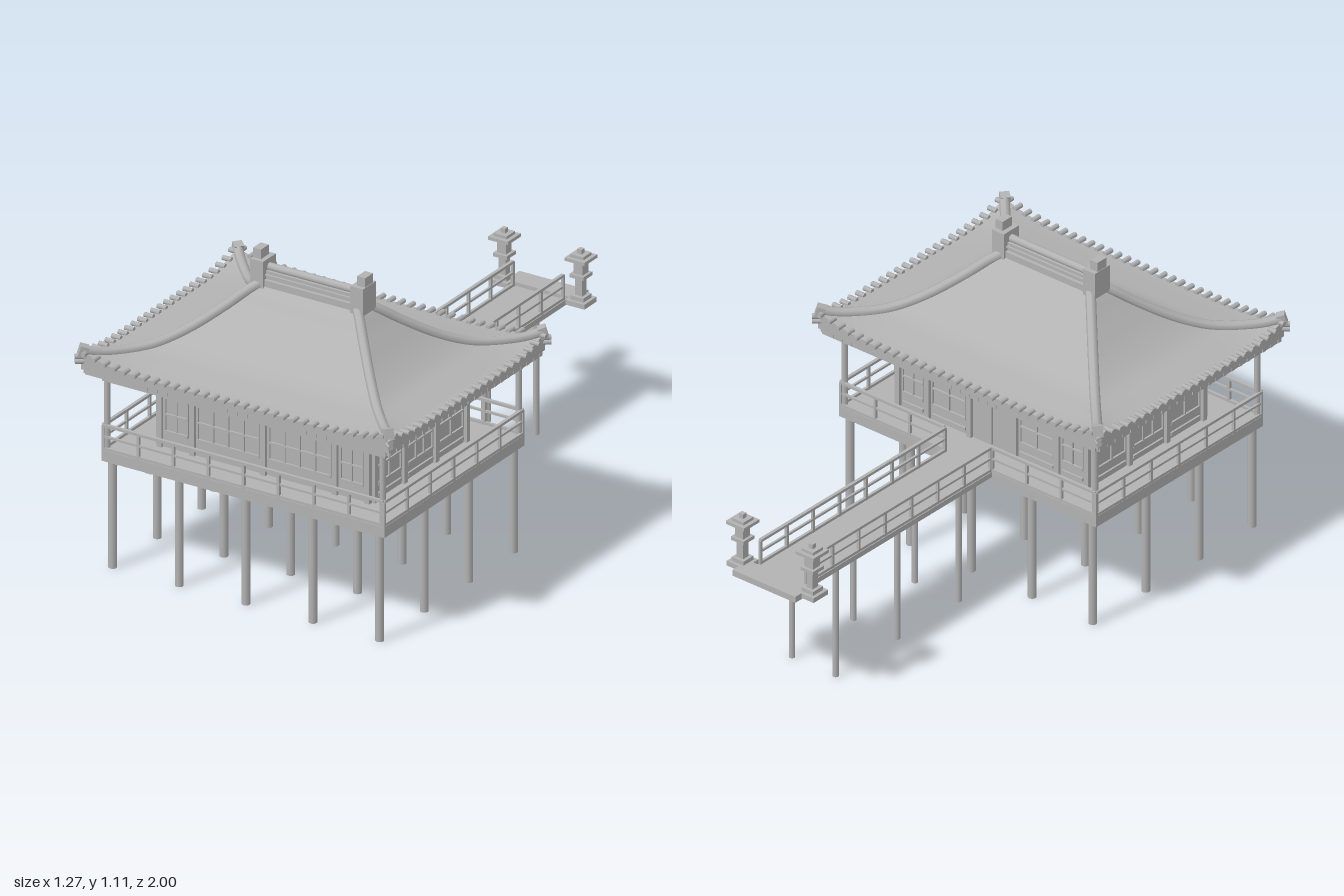
import * as THREE from 'three';
import { mergeGeometries } from 'three/addons/utils/BufferGeometryUtils.js';

const stone = new THREE.MeshStandardMaterial({ color: 0xb2b2b2 });
stone.name = 'grey';

// box from min/max corners
const box = (x0, x1, y0, y1, z0, z1) =>
  new THREE.BoxGeometry(x1 - x0, y1 - y0, z1 - z0).translate((x0 + x1) / 2, (y0 + y1) / 2, (z0 + z1) / 2);
const post = (x, z, r, y0, y1) =>
  new THREE.CylinderGeometry(r, r, y1 - y0, 12).translate(x, (y0 + y1) / 2, z);
// bar between two points on the same level, w wide and h high
function bar(x0, z0, x1, z1, y, w, h) {
  const g = new THREE.BoxGeometry(Math.hypot(x1 - x0, z1 - z0), h, w);
  g.rotateY(-Math.atan2(z1 - z0, x1 - x0));
  return g.translate((x0 + x1) / 2, y, (z0 + z1) / 2);
}
function part(parent, name, geos) {
  const m = new THREE.Mesh(mergeGeometries(geos), stone);
  m.name = name;
  parent.add(m);
}
// railing with two rails, a sill and evenly spaced balusters
function railing(x0, z0, x1, z1, bays) {
  const out = [bar(x0, z0, x1, z1, 0.527, 0.012, 0.01), bar(x0, z0, x1, z1, 0.485, 0.008, 0.008),
    bar(x0, z0, x1, z1, 0.441, 0.01, 0.01)];
  for (let i = 0; i <= bays; i++) {
    const x = x0 + (x1 - x0) * i / bays, z = z0 + (z1 - z0) * i / bays;
    out.push(box(x - 0.005, x + 0.005, 0.43, 0.527, z - 0.005, z + 0.005));
  }
  return out;
}

// roof shape: s runs from ridge (0) to eave (1), u along one side (-1..1)
const HX = 0.615, HZ = 0.485;
const profile = new THREE.SplineCurve([[0, 0.99], [0.21, 0.917], [0.44, 0.847], [0.67, 0.799], [0.83, 0.78], [1, 0.768]]
  .map(p => new THREE.Vector2(...p)));
function roofPoint(side, u, s) {
  const hx = 0.185 + (HX - 0.185) * s, hz = 0.015 + (HZ - 0.015) * s;
  const y = profile.getPoint(s).y + 0.042 * Math.abs(u) ** 6 * s ** 6;
  return [[u * hx, y, hz], [hx, y, -u * hz], [-u * hx, y, -hz], [-hx, y, u * hz]][side];
}
function grid(cols, rows, fn) {
  const pos = [], idx = [];
  for (let j = 0; j <= rows; j++)
    for (let i = 0; i <= cols; i++) pos.push(...fn(i / cols * 2 - 1, j / rows));
  for (let j = 0; j < rows; j++)
    for (let i = 0; i < cols; i++) {
      const a = j * (cols + 1) + i, c = a + cols + 1;
      idx.push(a, c, a + 1, a + 1, c, c + 1);
    }
  const g = new THREE.BufferGeometry();
  g.setAttribute('position', new THREE.Float32BufferAttribute(pos, 3));
  g.setIndex(idx);
  g.computeVertexNormals();
  return g;
}

function buildRoof(house) {
  const roof = new THREE.Group();
  roof.name = 'roof';
  house.add(roof);
  const slopes = [], skirts = [], tiles = [], rafters = [];
  for (let k = 0; k < 4; k++) {
    slopes.push(grid(40, 24, (u, s) => roofPoint(k, u, s)));
    skirts.push(grid(40, 1, (u, s) => {
      const p = roofPoint(k, u, 1);
      return [p[0], s ? 0.745 : p[1], p[2]];
    }));
    // round tile ends and rafters along each eave
    const half = k % 2 ? HZ : HX, n = k % 2 ? 24 : 31;
    for (let i = 0; i < n; i++) {
      const u = (i + 0.5) / n * 2 - 1, p = roofPoint(k, u, 1);
      const t = new THREE.CylinderGeometry(0.009, 0.009, 0.036, 8).rotateX(Math.PI / 2);
      tiles.push(t.rotateY(k * Math.PI / 2).translate(p[0], p[1] + 0.004, p[2]));
      const out = k % 2 ? HX : HZ, wall = k % 2 ? 0.42 : 0.29;
      const start = Math.max(wall, out - (1 - Math.abs(u)) * half);
      if (out - start > 0.02 && i % 1 === 0)
        rafters.push(box(u * half - 0.008, u * half + 0.008, 0.726, 0.746, start, out - 0.002).rotateY(k * Math.PI / 2));
    }
  }
  part(roof, 'roofSlopes', slopes);
  part(roof, 'eaveEdge', skirts);
  part(roof, 'eaveTiles', tiles);
  part(roof, 'rafters', rafters);
  part(roof, 'soffit', [box(-HX, HX, 0.742, 0.748, -HZ, HZ)]);
  part(roof, 'purlins', [-1, 1].flatMap(s => [
    bar(-0.6, s * 0.475, 0.6, s * 0.475, 0.735, 0.014, 0.02), bar(-0.52, s * 0.39, 0.52, s * 0.39, 0.732, 0.014, 0.018),
    bar(s * 0.603, -0.475, s * 0.603, 0.475, 0.735, 0.014, 0.02), bar(s * 0.51, -0.39, s * 0.51, 0.39, 0.732, 0.014, 0.018)]));

  // hip ridges and upturned corner ornaments
  const hips = [], ornaments = [];
  for (let k = 0; k < 4; k++) {
    const pts = [];
    for (let i = 0; i <= 10; i++) {
      const p = roofPoint(k, 1, i / 10);
      pts.push(new THREE.Vector3(p[0], p[1] + 0.004, p[2]));
    }
    hips.push(new THREE.TubeGeometry(new THREE.CatmullRomCurve3(pts), 24, 0.018, 8).toNonIndexed());
    const [x, , z] = roofPoint(k, 1, 1), a = Math.atan2(x, z);
    ornaments.push(new THREE.BoxGeometry(0.034, 0.04, 0.03).rotateX(-0.3).rotateY(a).translate(x * 0.99, 0.81, z * 0.99));
    for (const y of [0.772, 0.79])
      ornaments.push(new THREE.CylinderGeometry(0.01, 0.01, 0.04, 10).rotateX(Math.PI / 2).rotateY(a).translate(x, y, z));
  }
  part(roof, 'hipRidges', hips);
  part(roof, 'cornerOrnaments', ornaments);

  // top ridge with end blocks
  part(roof, 'topRidge', [box(-0.18, 0.18, 0.97, 1.005, -0.032, 0.032), box(-0.18, 0.18, 1.005, 1.035, -0.02, 0.02),
    new THREE.CylinderGeometry(0.014, 0.014, 0.36, 12).rotateZ(Math.PI / 2).translate(0, 1.044, 0),
    box(-0.18, 0.18, 1.018, 1.024, -0.028, 0.028)]);
  part(roof, 'ridgeEnds', [-1, 1].flatMap(s => [
    box(-0.026, 0.026, 0.975, 1.075, -0.04, 0.04).translate(s * 0.2, 0, 0),
    box(-0.016, 0.016, 1.075, 1.11, -0.024, 0.024).translate(s * 0.208, 0, 0)]));
}

// wall posts, wainscot and lattice panels, laid out along x on a plane facing +z
function wallTrim(posts, depth, turn) {
  const out = [];
  posts.forEach((x, i) => {
    out.push(box(x - 0.01, x + 0.01, 0.43, 0.73, depth - 0.01, depth + 0.012));
    if (i === posts.length - 1) return;
    const a = x + 0.02, b = posts[i + 1] - 0.02, n = Math.max(2, Math.round((b - a) / 0.06));
    for (const [y, h] of [[0.455, 0.012], [0.495, 0.01], [0.56, 0.006], [0.62, 0.006], [0.69, 0.014]])
      out.push(box(a, b, y - h / 2, y + h / 2, depth - 0.002, depth + 0.007));
    for (let j = 0; j <= n; j++) {
      const c = a + (b - a) * j / n;
      out.push(box(c - 0.003, c + 0.003, 0.495, 0.69, depth - 0.002, depth + 0.006));
    }
  });
  return out.map(g => g.rotateY(turn));
}

function buildHouse(root) {
  const house = new THREE.Group();
  house.name = 'pavilion';
  house.position.z = 0.495;
  root.add(house);

  // stilts, joists and deck
  const stilts = [], joists = [];
  for (const x of [-0.533, -0.267, 0, 0.267, 0.533])
    for (const z of [-0.415, -0.138, 0.138, 0.415]) stilts.push(post(x, z, 0.015, 0, 0.41));
  for (let i = -4; i <= 4; i++) joists.push(box(i * 0.13 - 0.01, i * 0.13 + 0.01, 0.385, 0.412, -0.42, 0.42));
  part(house, 'stilts', stilts);
  part(house, 'joists', joists);
  part(house, 'deck', [box(-0.565, 0.565, 0.41, 0.435, -0.435, 0.435)]);
  part(house, 'deckBeams', [-1, 1].flatMap(s => [bar(-0.565, s * 0.427, 0.565, s * 0.427, 0.415, 0.016, 0.04),
    bar(s * 0.557, -0.42, s * 0.557, 0.42, 0.415, 0.016, 0.04)]));

  // walls
  part(house, 'walls', [box(-0.425, 0.425, 0.43, 0.745, -0.3, 0.3)]);
  const wide = [-0.415, -0.285, 0, 0.285, 0.415], narrow = [-0.285, -0.1, 0.095, 0.285];
  part(house, 'wallTrim', [...wallTrim(wide, 0.3, 0), ...wallTrim([-0.415, -0.285, -0.1], 0.3, Math.PI),
    ...wallTrim([0.1, 0.285, 0.415], 0.3, Math.PI),
    ...wallTrim(narrow, 0.425, Math.PI / 2), ...wallTrim(narrow, 0.425, -Math.PI / 2)]);
  part(house, 'backDoor', [box(-0.085, -0.003, 0.44, 0.69, -0.307, -0.299), box(0.003, 0.085, 0.44, 0.69, -0.307, -0.299)]);

  // veranda posts, beams and railings
  const veranda = [];
  for (const s of [-1, 1]) {
    veranda.push(bar(-0.565, s * 0.422, 0.565, s * 0.422, 0.7, 0.018, 0.02));
    for (const x of [-0.55, 0.55]) veranda.push(post(x, s * 0.422, 0.011, 0.43, 0.73));
  }
  part(house, 'verandaFrame', veranda.map(g => g.toNonIndexed()));
  part(house, 'verandaRailings', [...railing(-0.56, 0.43, 0.56, 0.43, 8), ...railing(-0.56, -0.43, -0.105, -0.43, 3),
    ...railing(0.105, -0.43, 0.56, -0.43, 3), ...railing(0.56, -0.43, 0.56, 0.43, 6), ...railing(-0.56, -0.43, -0.56, 0.43, 6)]);
  buildRoof(house);
}

function buildBridge(root) {
  const bridge = new THREE.Group();
  bridge.name = 'bridge';
  root.add(bridge);
  part(bridge, 'walkway', [box(-0.107, 0.107, 0.415, 0.435, -0.908, 0.065)]);
  part(bridge, 'endPlatform', [box(-0.138, 0.138, 0.42, 0.443, -1, -0.918)]);
  part(bridge, 'bridgeStilts', [-1, 1].flatMap(s => [-0.1, -0.42, -0.74].map(z => post(s * 0.096, z, 0.011, 0, 0.42))));
  part(bridge, 'bridgeRailings', [-1, 1].flatMap(s => railing(s * 0.1, -0.9, s * 0.1, 0.06, 7)));

  // lanterns: stacked square tiers [half width, bottom, top]
  const tiers = [[0.038, 0.425, 0.443], [0.026, 0.443, 0.458], [0.014, 0.458, 0.525], [0.028, 0.525, 0.538],
    [0.018, 0.538, 0.585], [0.04, 0.588, 0.6], [0.026, 0.6, 0.611], [0.009, 0.611, 0.628]];
  for (const s of [-1, 1])
    part(bridge, s > 0 ? 'leftLantern' : 'rightLantern',
      tiers.map(([w, a, b]) => box(-w, w, a, b, -w, w).translate(s * 0.153, 0, -0.93)));
}

export function createModel() {
  const root = new THREE.Group();
  root.name = 'stiltPavilion';
  buildHouse(root);
  buildBridge(root);
  return root;
}
